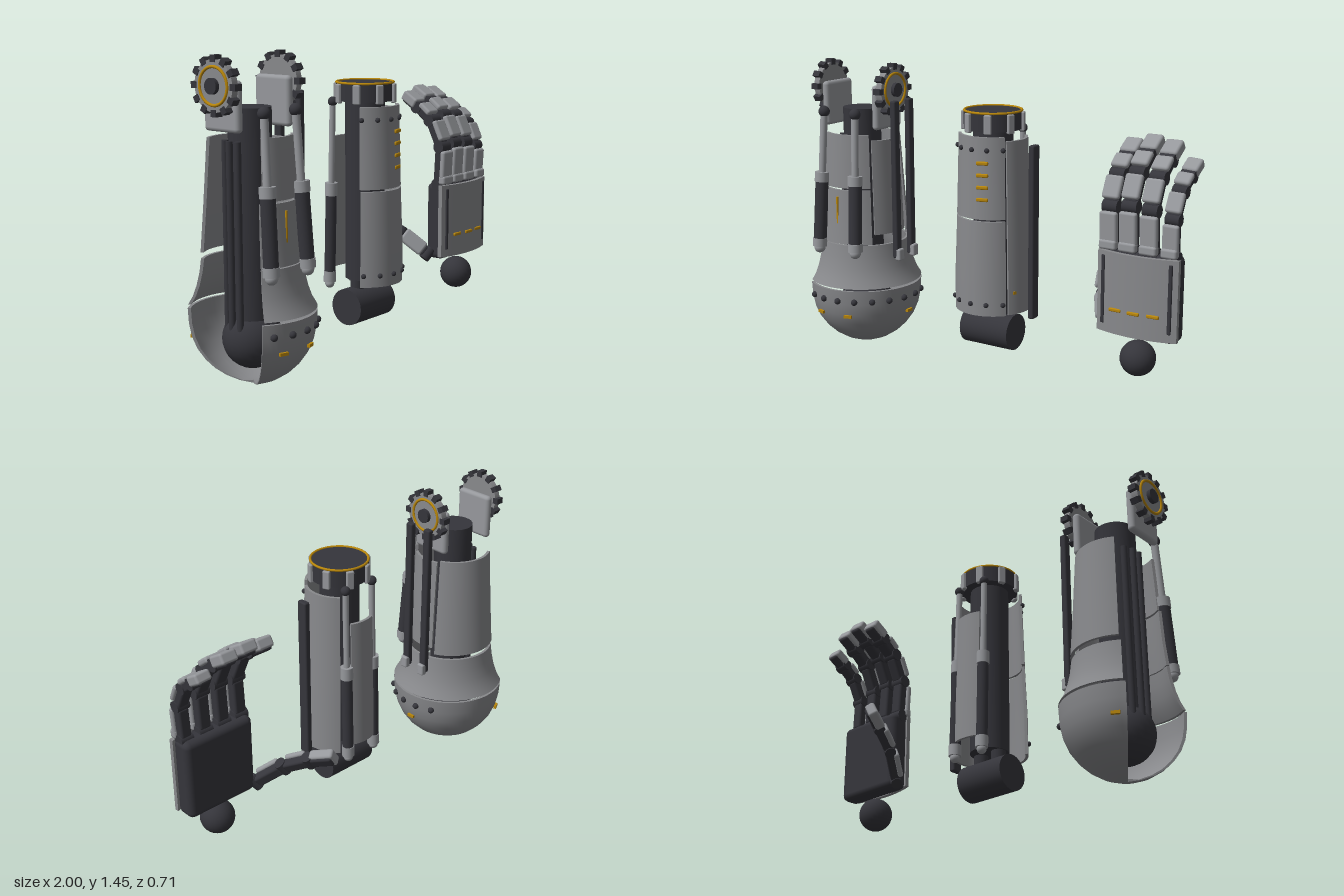
import * as THREE from 'three';
import { mergeGeometries, toCreasedNormals } from 'three/addons/utils/BufferGeometryUtils.js';
import { RoundedBoxGeometry } from 'three/addons/geometries/RoundedBoxGeometry.js';

const paint = (name, color, side = THREE.FrontSide) => {
  const m = new THREE.MeshStandardMaterial({ color, side });
  m.name = name;
  return m;
};
const armor = paint('armor grey', 0x88898c, THREE.DoubleSide);
const steel = paint('light steel', 0x96989c);
const dark = paint('dark metal', 0x35353b);
const gold = paint('gold trim', 0xb8860b);
const V = (x, y, z) => new THREE.Vector3(x, y, z);
const rad = THREE.MathUtils.degToRad;

function add(parent, name, geo, mat, x = 0, y = 0, z = 0) {
  const m = new THREE.Mesh(geo, mat);
  m.name = name;
  m.position.set(x, y, z);
  parent.add(m);
  return m;
}
const rbox = (w, h, d, r = 0.01) => new RoundedBoxGeometry(w, h, d, 2, r);
const cyl = (r, h, n = 32) => new THREE.CylinderGeometry(r, r, h, n);
const ball = (r) => new THREE.SphereGeometry(r, 24, 16);

// Cylinder between two points
function rod(parent, name, a, b, r, mat) {
  const m = add(parent, name, cyl(r, a.distanceTo(b), 20), mat);
  m.position.copy(a).add(b).multiplyScalar(0.5);
  m.quaternion.setFromUnitVectors(V(0, 1, 0), b.clone().sub(a).normalize());
}

// Curved armour plate: profile [radius, y] upward, angles from +x towards +z
function shell(parent, name, profile, a0, a1, t = 0.014) {
  const outer = profile.map(([r, y]) => new THREE.Vector2(r, y));
  const inner = profile.map(([r, y], i) => new THREE.Vector2(Math.max(r - t, 0.001), i === 0 && r < 0.01 ? y + t : y)).reverse();
  const loop = [...outer, ...inner];
  const lathe = new THREE.LatheGeometry([...loop, outer[0].clone()], Math.ceil((a1 - a0) / 5), rad(90 - a1), rad(a1 - a0));
  const ends = [a0, a1].map((a) => new THREE.ShapeGeometry(new THREE.Shape(loop)).rotateY(-rad(a)).toNonIndexed());
  return add(parent, name, mergeGeometries([toCreasedNormals(lathe, 0.6), ...ends]), armor);
}

// Places a mesh on a cylinder surface, facing outward
function around(parent, name, geo, mat, r, deg, y) {
  const a = rad(deg);
  add(parent, name, geo, mat, r * Math.cos(a), y, r * Math.sin(a)).rotation.y = Math.PI / 2 - a;
}

// Hydraulic piston: ball end on top, sleeve between fractions s0 and s1
function piston(parent, name, top, end, s0, s1, r) {
  const g = new THREE.Group();
  g.name = name;
  parent.add(g);
  const at = (f) => top.clone().lerp(end, f);
  rod(g, 'pistonRod', top, at(s0), r * 0.55, steel);
  rod(g, 'sleeve', at(s0), at(s1), r, dark);
  rod(g, 'upperCollar', at(s0 - 0.06), at(s0 + 0.01), r * 1.12, steel);
  rod(g, 'lowerCollar', at(s1 - 0.01), at(s1 + 0.05), r * 1.12, steel);
  rod(g, 'endPin', at(s1), end, r * 0.7, steel);
  add(g, 'ballEnd', ball(r * 0.85), dark).position.copy(top);
  add(g, 'ballFoot', ball(r * 0.85), steel).position.copy(end);
}

function upperArm() {
  const g = new THREE.Group();
  g.name = 'upperArm';
  g.position.set(-0.768, 0, 0.06);
  // Core and shoulder ball
  add(g, 'core', cyl(0.094, 1.0), dark, 0, 0.725, 0);
  add(g, 'shoulderBall', ball(0.135), dark, 0, 0.21, 0);
  for (const a of [165, 190, 215]) around(g, 'cable', cyl(0.015, 0.85, 12), dark, 0.108, a, 0.66);
  // Shoulder bowl, flared collar and plates
  shell(g, 'shoulderBowl', [[0.001, 0], [0.06, 0.012], [0.12, 0.036], [0.17, 0.068], [0.21, 0.106], [0.245, 0.155], [0.268, 0.21], [0.28, 0.27], [0.284, 0.34]], -128, 128);
  shell(g, 'collar', [[0.284, 0.352], [0.262, 0.39], [0.244, 0.44], [0.23, 0.5], [0.222, 0.56]], -126, 126);
  shell(g, 'frontLowerPlate', [[0.222, 0.565], [0.21, 0.68], [0.202, 0.835]], 42, 126);
  shell(g, 'frontUpperPlate', [[0.202, 0.845], [0.196, 0.98], [0.188, 1.11]], 42, 122);
  shell(g, 'sidePlate', [[0.212, 0.61], [0.203, 0.82], [0.188, 1.08]], -18, 38);
  shell(g, 'backPlate', [[0.225, 0.585], [0.208, 0.8], [0.188, 1.09]], -124, -23);
  // Rivets and gold marks
  for (let i = 0; i < 9; i++) around(g, 'rivet', ball(0.016), dark, 0.284, 118 - 18 * i, 0.285);
  for (const a of [108, 72, 0, -118]) around(g, 'goldMark', new THREE.BoxGeometry(0.04, 0.014, 0.014), gold, 0.273, a, 0.205);
  around(g, 'goldStripe', new THREE.BoxGeometry(0.008, 0.14, 0.009), gold, 0.207, 91, 0.73);
  for (const s of [-1, 1]) {
    piston(g, 'frontPiston', V(s * 0.097, 1.215, 0.175), V(s * 0.114, 0.53, 0.222), 0.5, 0.94, 0.033);
    // Elbow bracket and gear
    add(g, 'elbowBracket', rbox(0.038, 0.22, 0.2, 0.018), steel, s * 0.155, 1.24, 0);
    const gear = new THREE.Group();
    gear.name = 'elbowGear';
    gear.position.set(s * 0.195, 1.325, 0);
    gear.rotation.z = -s * Math.PI / 2;
    g.add(gear);
    add(gear, 'gearDisc', cyl(0.11, 0.032, 40), armor);
    for (let i = 0; i < 12; i++) around(gear, 'tooth', new THREE.BoxGeometry(0.028, 0.04, 0.03), dark, 0.113, i * 30, 0);
    add(gear, 'goldRing', new THREE.TorusGeometry(0.08, 0.007, 8, 48).rotateX(Math.PI / 2), gold, 0, 0.016, 0);
    add(gear, 'hub', cyl(0.034, 0.05, 24), dark, 0, 0.01, 0);
    // Side rails
    add(g, 'sideRail', rbox(0.032, 0.79, 0.04, 0.008), dark, 0.25, 0.885, s * 0.058);
    add(g, 'railFoot', rbox(0.032, 0.06, 0.04, 0.008), steel, 0.265, 0.51, s * 0.058);
  }
  return g;
}

function forearm() {
  const g = new THREE.Group();
  g.name = 'forearm';
  g.position.set(0.016, 0, 0.06);
  // Core, elbow barrel and wrist cap
  add(g, 'core', cyl(0.094, 0.87), dark, 0, 0.765, 0);
  for (const s of [-1, 1]) add(g, 'neckRod', cyl(0.035, 0.15, 20), dark, s * 0.055, 0.3, 0);
  add(g, 'elbowBarrel', cyl(0.088, 0.267).rotateZ(Math.PI / 2), dark, -0.005, 0.205, 0);
  add(g, 'wristCap', cyl(0.138, 0.085, 48), dark, 0, 1.232, 0);
  add(g, 'capRing', new THREE.TorusGeometry(0.135, 0.006, 8, 64).rotateX(Math.PI / 2), gold, 0, 1.275, 0);
  for (let i = 0; i < 8; i++) around(g, 'capBlock', rbox(0.036, 0.09, 0.022, 0.006), steel, 0.14, 22.5 + i * 45, 1.225);
  // Armour plates
  shell(g, 'frontLowerPlate', [[0.182, 0.32], [0.182, 0.5], [0.172, 0.775]], 38, 148);
  shell(g, 'frontUpperPlate', [[0.172, 0.785], [0.166, 1.0], [0.162, 1.17]], 38, 150);
  shell(g, 'sidePlate', [[0.19, 0.325], [0.187, 0.5], [0.177, 0.8], [0.164, 1.15]], -48, 35);
  shell(g, 'backPlate', [[0.182, 0.36], [0.178, 0.6], [0.165, 1.01]], -115, -66);
  // Rivets and gold marks
  for (let i = 0; i < 5; i++) {
    around(g, 'upperRivet', ball(0.012), dark, 0.165, 147 - 26.5 * i, 1.11);
    around(g, 'lowerRivet', ball(0.012), dark, 0.184, 143 - 25 * i, 0.375);
  }
  for (let i = 0; i < 4; i++) around(g, 'goldBar', rbox(0.058, 0.018, 0.016, 0.006), gold, 0.166, 75, 1.05 - i * 0.057);
  around(g, 'goldMark', new THREE.BoxGeometry(0.015, 0.014, 0.01), gold, 0.187, 25, 0.43);
  // Rear pistons and side rail
  for (const s of [-1, 1]) piston(g, 'rearPiston', V(s * 0.083, 1.18, -0.13), V(s * 0.085, 0.29, -0.15), 0.5, 0.94, 0.027);
  add(g, 'sideRail', rbox(0.03, 0.835, 0.055, 0.008), dark, 0.224, 0.712, 0);
  return g;
}

// Chain of finger segments with dark bones and light outer plates
function digit(parent, name, points, outward, w) {
  const g = new THREE.Group();
  g.name = name;
  parent.add(g);
  for (let i = 0; i + 1 < points.length; i++) {
    const [a, b] = [points[i], points[i + 1]];
    const up = b.clone().sub(a);
    const len = up.length();
    up.normalize();
    const side = up.clone().cross(outward).normalize();
    const seg = new THREE.Group();
    seg.name = 'segment' + (i + 1);
    seg.applyMatrix4(new THREE.Matrix4().makeBasis(side, up, side.clone().cross(up)));
    seg.position.copy(a);
    g.add(seg);
    const tip = i + 2 === points.length;
    add(seg, 'joint', cyl(w * 0.36, w * 0.85, 20).rotateZ(Math.PI / 2), dark);
    add(seg, 'bone', rbox(w * 0.72, len * 0.85, w * 0.6, 0.012), dark, 0, len * 0.5, 0);
    add(seg, 'plate', rbox(w, len * (tip ? 0.9 : 0.74), tip ? w * 0.62 : w * 0.34, 0.012), steel, 0, len * 0.54, tip ? w * 0.14 : w * 0.36);
  }
}

function hand() {
  const g = new THREE.Group();
  g.name = 'hand';
  add(g, 'wristBall', ball(0.083), dark, 0.797, 0.205, 0.06);
  // Palm and bulged back plate
  add(g, 'palm', rbox(0.375, 0.4, 0.105, 0.03), dark, 0.802, 0.505, 0.043);
  const bulge = (z, x) => z + 0.034 * (1 - (x / 0.198) ** 2);
  const plate = new THREE.BoxGeometry(0.396, 0.378, 0.022, 16, 1, 1);
  const p = plate.attributes.position;
  for (let i = 0; i < p.count; i++) p.setZ(i, bulge(p.getZ(i), p.getX(i)));
  add(g, 'handPlate', toCreasedNormals(plate, 0.6), armor, 0.802, 0.51, 0.088);
  for (const x of [-0.165, 0.165]) add(g, 'plateSlot', rbox(0.018, 0.32, 0.014, 0.005), dark, 0.802 + x, 0.52, bulge(0.098, x));
  for (const x of [-0.093, 0, 0.093]) add(g, 'goldDash', rbox(0.06, 0.016, 0.014, 0.005), gold, 0.802 + x, 0.435, bulge(0.1, x));
  // Fingers, curled to the back
  const path = [[0.7, 0.055], [0.9, 0.065], [1.035, 0.0], [1.1, -0.085], [1.155, -0.175]];
  const fingers = [[0.65, 0.98, 0.086], [0.747, 1.03, 0.086], [0.848, 1.0, 0.086], [0.95, 0.86, 0.078]];
  for (const [x, s, w] of fingers) {
    const pts = path.map(([y, z], i) => V(x + (s < 0.9 ? i * 0.003 : 0), 0.7 + (y - 0.7) * s, 0.055 + (z - 0.055) * s));
    digit(g, 'finger', pts, V(0, 0, 1), w);
    add(g, 'knucklePlate', rbox(w, 0.045, 0.04, 0.012), steel, x, 0.725, 0.09);
  }
  // Thumb
  digit(g, 'thumb', [V(0.605, 0.33, 0.01), V(0.53, 0.44, -0.11), V(0.48, 0.51, -0.235), V(0.425, 0.55, -0.35)], V(-0.75, 0.45, 0.35), 0.078);
  return g;
}

export function createModel() {
  const model = new THREE.Group();
  model.name = 'mechanicalArm';
  model.add(upperArm(), forearm(), hand());
  return model;
}
